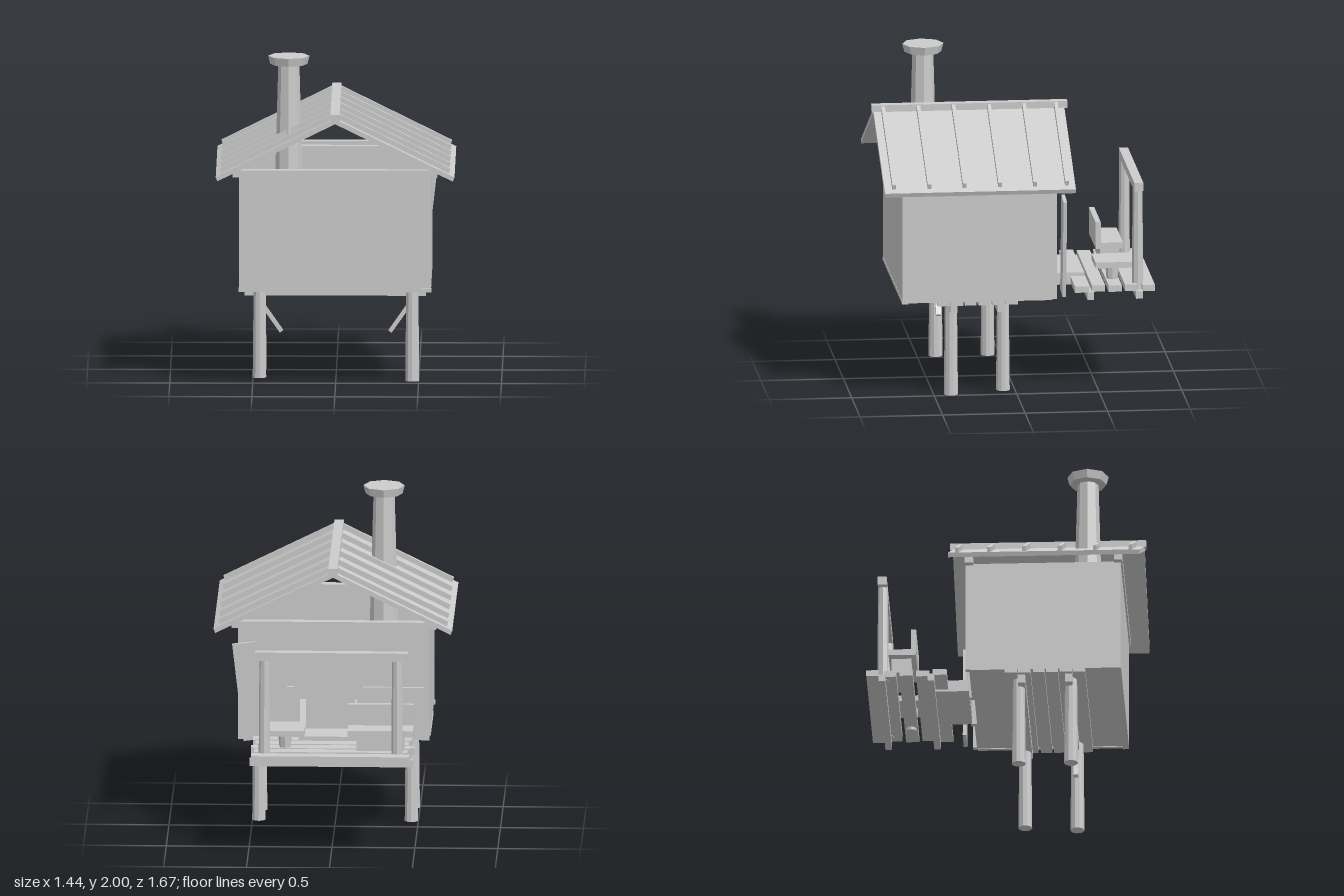
import * as THREE from 'three';

export function createModel() {
  const model = new THREE.Group();
  const mat = new THREE.MeshStandardMaterial({ color: 0xcccccc, flatShading: true, side: THREE.DoubleSide });

  const add = (name, geometry) => {
    const mesh = new THREE.Mesh(geometry, mat);
    mesh.name = name;
    model.add(mesh);
    return mesh;
  };
  // Box given by its limits on each axis
  const box = (name, x0, x1, y0, y1, z0, z1) => {
    const mesh = add(name, new THREE.BoxGeometry(x1 - x0, y1 - y0, z1 - z0));
    mesh.position.set((x0 + x1) / 2, (y0 + y1) / 2, (z0 + z1) / 2);
    return mesh;
  };
  // Upright tapered pole
  const pole = (name, x, z, y0, y1, rBottom, rTop, sides = 8) => {
    const mesh = add(name, new THREE.CylinderGeometry(rTop, rBottom, y1 - y0, sides));
    mesh.position.set(x, (y0 + y1) / 2, z);
    return mesh;
  };
  // Profile in x/y drawn out from z0 to z1
  const prism = (name, points, z0, z1) => {
    const shape = new THREE.Shape(points.map(([x, y]) => new THREE.Vector2(x, y)));
    const geometry = new THREE.ExtrudeGeometry(shape, { depth: z1 - z0, bevelEnabled: false });
    add(name, geometry.translate(0, 0, z0));
  };

  // Stilts, with short braces on the front pair
  for (const s of [-1, 1]) {
    pole('frontStilt', s * 0.46, 0.395, s < 0 ? 0.02 : 0, 0.58, 0.043, 0.037, 10);
    pole('rearStilt', s * 0.46, 0.08, 0.02, 0.58, 0.042, 0.036, 10);
    const brace = add('brace', new THREE.BoxGeometry(0.024, 0.22, 0.03));
    brace.position.set(s * 0.39, 0.39, 0.39);
    brace.rotation.z = -s * 0.61;
  }

  // Floor beams, planks and floor panel
  for (const z of [0.1, 0.385]) box('floorBeam', -0.55, 0.545, 0.52, 0.572, z - 0.022, z + 0.022);
  for (const [z0, z1] of [[0, 0.075], [0.08, 0.155], [0.17, 0.24], [0.25, 0.32], [0.33, 0.405], [0.41, 0.485]])
    box('floorPlank', -0.58, 0.575, 0.572, 0.6, z0, z1);
  box('floor', -0.57, 0.565, 0.6, 0.615, -0.2, 0.69);
  box('frontSill', -0.585, 0.58, 0.59, 0.612, 0.665, 0.702);

  // Closed walls
  box('frontWall', -0.58, 0.575, 0.6, 1.3, 0.675, 0.7);
  for (const s of [-1, 1]) box('sideWall', s * 0.565 - 0.012, s * 0.565 + 0.012, 0.595, 1.3, -0.21, 0.7);
  for (const z of [0.685, -0.215]) box('wallTopBeam', -0.62, 0.615, 1.292, 1.335, z - 0.025, z + 0.025);

  // Back wall: posts, a doorway and a window on each side of it
  for (const x of [-0.56, -0.16, 0.22, 0.555]) box('backPost', x - 0.018, x + 0.018, 0.6, 1.3, -0.238, -0.2);
  for (const [x0, x1] of [[-0.56, -0.16], [0.22, 0.555]]) {
    box('lowerBackPanel', x0, x1, 0.6, 0.92, -0.215, -0.2);
    box('upperBackPanel', x0, x1, 1.18, 1.3, -0.215, -0.2);
    box('windowPanel', x0, x1, 0.92, 1.18, -0.203, -0.192);
    box('windowSill', x0, x1, 0.91, 0.925, -0.225, -0.2);
  }
  box('doorHeader', -0.16, 0.22, 1.18, 1.3, -0.215, -0.2);
  box('door', -0.13, 0.165, 0.61, 1.1, -0.245, -0.228);
  box('shutter', 0.28, 0.5, 0.85, 1.15, -0.235, -0.222);

  // Board leaning beside the back wall
  const leaningBoard = box('leaningBoard', 0.435, 0.575, 0.61, 1.215, -0.295, -0.273);
  leaningBoard.rotation.z = -0.115;

  // Roof slopes with battens, and the ridge beam
  for (const s of [-1, 1]) {
    const mirrored = (points) => points.map(([x, y]) => [s * x, y]);
    prism('roofSlope', mirrored([[0, 1.668], [0.72, 1.312], [0.71, 1.286], [0, 1.636]]), -0.337, 0.82);
    const batten = mirrored([[0.022, 1.692], [0.695, 1.358], [0.685, 1.325], [0.022, 1.65]]);
    for (const z of [-0.285, -0.092, 0.12, 0.335, 0.548, 0.762]) prism('roofBatten', batten, z - 0.011, z + 0.011);
  }
  box('ridgeBeam', -0.028, 0.028, 1.652, 1.695, -0.355, 0.83);

  // Chimney pipe and cap
  pole('chimney', -0.282, 0.49, 0.615, 1.945, 0.1, 0.064);
  pole('chimneyCap', -0.282, 0.49, 1.95, 2, 0.112, 0.125);

  // Rear deck: joists, planks and the doorstep
  for (const z of [-0.45, -0.745]) box('deckJoist', -0.495, 0.49, 0.57, 0.615, z - 0.02, z + 0.02);
  [[-0.84, -0.765, 0.478], [-0.735, -0.66, 0.463], [-0.64, -0.56, 0.475], [-0.54, -0.46, 0.463], [-0.44, -0.355, 0.48]]
    .forEach(([z0, z1, half]) => box('deckPlank', -half, half, 0.613, 0.652, z0, z1));
  box('doorstep', -0.268, 0.205, 0.6, 0.673, -0.44, -0.23);

  // Deck railing
  for (const s of [-1, 1]) pole('railPost', s * 0.4, -0.742, 0.61, 1.235, 0.035, 0.03);
  box('handrail', -0.465, 0.458, 1.228, 1.28, -0.772, -0.717);

  // Bench with a backrest
  box('benchSeat', -0.495, -0.1, 0.742, 0.78, -0.705, -0.54);
  box('benchBack', -0.495, -0.1, 0.77, 0.91, -0.57, -0.538);
  box('benchBase', -0.44, -0.155, 0.65, 0.745, -0.69, -0.57);

  // Stool on one tapered leg
  box('stoolSeat', 0.16, 0.4, 0.742, 0.778, -0.715, -0.488);
  pole('stoolLeg', 0.28, -0.6, 0.595, 0.745, 0.03, 0.042);

  return model;
}
